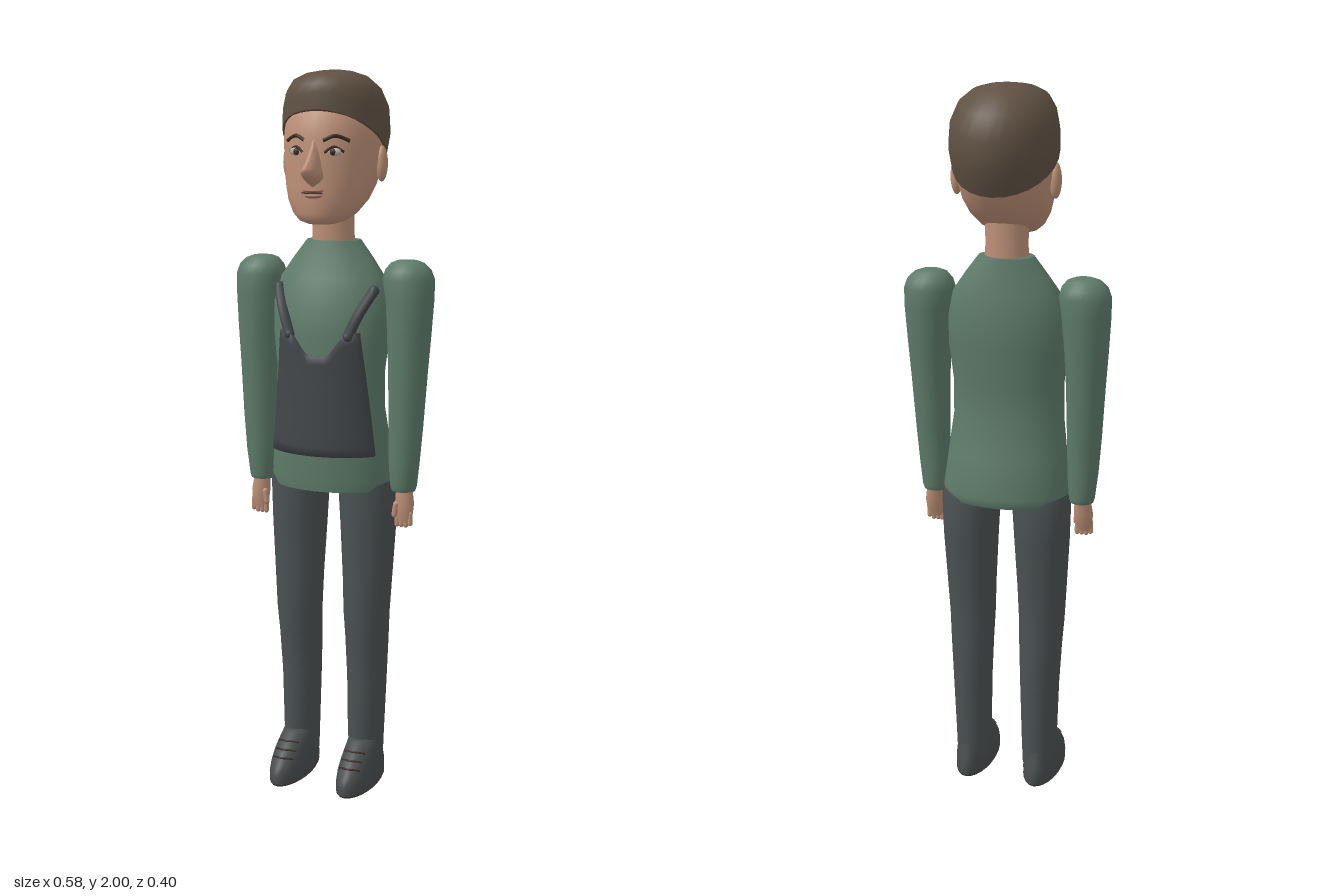
import * as THREE from 'three';
import { ParametricGeometry } from 'three/addons/geometries/ParametricGeometry.js';

const mat = (name, color, side = THREE.FrontSide) => {
  const m = new THREE.MeshStandardMaterial({ color, side });
  m.name = name;
  return m;
};

// Closed body through oval rings [y, halfWidth, zFront, zBack, centreX, tilt]; power 2 is an ellipse.
function loft(rings, sides = 24, power = 2) {
  const pos = [], idx = [];
  const bend = (t) => Math.sign(t) * Math.abs(t) ** (2 / power);
  const addRing = ([y, rx, zf, zb, cx = 0, tilt = 0]) => {
    for (let s = 0; s < sides; s++) {
      const a = (s / sides) * Math.PI * 2;
      const dz = bend(Math.sin(a)) * (zf - zb) / 2;
      pos.push(cx + rx * bend(Math.cos(a)), y + tilt * dz, (zf + zb) / 2 + dz);
    }
  };
  rings.forEach(addRing);
  for (let r = 0; r < rings.length - 1; r++) {
    for (let s = 0; s < sides; s++) {
      const a = r * sides + s, c = r * sides + (s + 1) % sides;
      idx.push(a, a + sides, c, a + sides, c + sides, c);
    }
  }
  for (const top of [false, true]) {
    const ring = top ? rings[rings.length - 1] : rings[0];
    const start = pos.length / 3;
    addRing(ring);
    pos.push(ring[4] ?? 0, ring[0], (ring[2] + ring[3]) / 2);
    for (let s = 0; s < sides; s++) {
      const a = start + s, b = start + (s + 1) % sides;
      idx.push(start + sides, top ? b : a, top ? a : b);
    }
  }
  const g = new THREE.BufferGeometry();
  g.setAttribute('position', new THREE.Float32BufferAttribute(pos, 3));
  g.setIndex(idx);
  g.computeVertexNormals();
  return g;
}

// Front z of a lofted body at (x, y).
function frontZ(rings, x, y) {
  let i = 0;
  while (i < rings.length - 2 && rings[i + 1][0] < y) i++;
  const p = rings[i], q = rings[i + 1];
  const t = THREE.MathUtils.clamp((y - p[0]) / (q[0] - p[0]), 0, 1);
  const [rx, zf, zb] = [1, 2, 3].map((k) => p[k] + (q[k] - p[k]) * t);
  const u = (x - (p[4] ?? 0)) / rx;
  return (zf + zb) / 2 + (zf - zb) / 2 * Math.sqrt(Math.max(0, 1 - u * u));
}

// Cord lying on the front of a lofted body through the given [x, y] points.
function cord(rings, points, radius, lift = 0) {
  const path = points.map(([x, y]) => new THREE.Vector3(x, y, frontZ(rings, x, y) + lift));
  return new THREE.TubeGeometry(new THREE.CatmullRomCurve3(path), 12, radius, 8);
}

const HEAD = [
  [1.598, 0.035, 0.1, 0.03], [1.606, 0.062, 0.115, 0], [1.625, 0.086, 0.122, -0.045],
  [1.66, 0.108, 0.125, -0.095], [1.7, 0.121, 0.126, -0.135], [1.76, 0.131, 0.122, -0.165],
  [1.82, 0.136, 0.12, -0.185], [1.88, 0.133, 0.108, -0.185], [1.93, 0.105, 0.075, -0.16],
];
const HAIR = [
  [1.81, 0.142, 0.106, -0.16, 0, 0.65], [1.865, 0.145, 0.105, -0.193, 0, 0.5],
  [1.915, 0.138, 0.1, -0.2, 0, 0.32], [1.957, 0.118, 0.085, -0.178, 0, 0.2],
  [1.984, 0.084, 0.05, -0.135, 0, 0.1], [1.996, 0.045, 0.008, -0.085, 0, 0.04], [2, 0.01, -0.025, -0.045],
];
const NOSE = [
  [1.698, 0.012, 0.13, 0.06], [1.71, 0.026, 0.146, 0.06], [1.722, 0.03, 0.172, 0.05],
  [1.735, 0.027, 0.2, 0.04], [1.746, 0.024, 0.184, 0.05], [1.768, 0.021, 0.155, 0.06],
  [1.8, 0.018, 0.129, 0.06], [1.825, 0.014, 0.118, 0.06],
];
const TORSO = [
  [0.867, 0.172, 0.097, -0.135], [0.895, 0.18, 0.1, -0.145], [1, 0.168, 0.104, -0.123],
  [1.1, 0.156, 0.102, -0.101], [1.2, 0.156, 0.1, -0.101], [1.3, 0.167, 0.1, -0.111],
  [1.38, 0.168, 0.09, -0.112], [1.45, 0.15, 0.065, -0.102], [1.5, 0.115, 0.048, -0.093],
  [1.55, 0.076, 0.036, -0.085],
];
const SLEEVE = [
  [0.867, 0.033, 0.023, -0.043, 0.213], [0.88, 0.037, 0.028, -0.048, 0.213],
  [0.95, 0.043, 0.034, -0.05, 0.215], [1.05, 0.048, 0.036, -0.056, 0.218],
  [1.2, 0.054, 0.04, -0.07, 0.221], [1.3, 0.06, 0.044, -0.08, 0.222],
  [1.4, 0.067, 0.045, -0.089, 0.221], [1.45, 0.071, 0.044, -0.09, 0.217],
  [1.475, 0.063, 0.035, -0.081, 0.216], [1.493, 0.046, 0.02, -0.066, 0.214], [1.5, 0.027, 0.002, -0.048, 0.213],
];
const HAND = [
  [0.778, 0.02, 0.008, -0.01, 0.218], [0.8, 0.025, 0.012, -0.018, 0.218],
  [0.83, 0.027, 0.016, -0.028, 0.218], [0.88, 0.022, 0.012, -0.034, 0.215],
];
const LEG = [
  [0.05, 0.046, 0.02, -0.085, 0.1], [0.13, 0.051, 0.037, -0.086, 0.1], [0.3, 0.056, 0.036, -0.092, 0.101],
  [0.42, 0.061, 0.045, -0.093, 0.102], [0.5, 0.065, 0.053, -0.087, 0.103], [0.6, 0.07, 0.05, -0.09, 0.104],
  [0.75, 0.078, 0.055, -0.104, 0.104], [0.87, 0.083, 0.06, -0.11, 0.102], [0.93, 0.078, 0.055, -0.09, 0.09],
];
const SHOE = [
  [0.005, 0.054, 0.157, -0.105, 0.103], [0.028, 0.055, 0.158, -0.106, 0.103],
  [0.052, 0.054, 0.146, -0.1, 0.103], [0.08, 0.05, 0.12, -0.09, 0.103],
  [0.105, 0.046, 0.085, -0.084, 0.102], [0.124, 0.042, 0.058, -0.078, 0.101], [0.13, 0.034, 0.045, -0.07, 0.101],
];

// Apron panel hugging the chest, its outer rows folded in to give an edge.
function bibGeometry() {
  const inner = (t, n) => THREE.MathUtils.clamp((t * n - 1) / (n - 2), 0, 1);
  const g = new ParametricGeometry((u, v, p) => {
    const edge = u < 0.001 || u > 0.999 || v < 0.001 || v > 0.999;
    const a = inner(u, 22) * 2 - 1, t = inner(v, 14);
    const x = a * (0.15 - 0.036 * t);
    const topY = 1.245 + 0.065 * THREE.MathUtils.smoothstep(Math.abs(a), 0.2, 0.8);
    const y = 0.97 + (topY - 0.97) * t;
    p.set(x, y, frontZ(TORSO, x, y) + (edge ? -0.01 : 0.014));
  }, 22, 14);
  g.computeVertexNormals();
  return g;
}

export function createModel() {
  const model = new THREE.Group();
  model.name = 'figure';
  const skin = mat('skin', 0xbd9078), hairBrown = mat('hairBrown', 0x605143);
  const green = mat('shirtGreen', 0x5e7b6a), trouser = mat('trouserGrey', 0x4b5153);
  const apron = mat('apronCharcoal', 0x43474a, THREE.DoubleSide), shoeGrey = mat('shoeGrey', 0x484c4d);
  const soleBrown = mat('soleBrown', 0x4a3d34), dark = mat('darkBrown', 0x3a2c25);
  const eyeWhite = mat('eyeWhite', 0xb5aaa0), lip = mat('lip', 0xa87362);

  const add = (name, geometry, material) => {
    const m = new THREE.Mesh(geometry, material);
    m.name = name;
    model.add(m);
    return m;
  };
  const blob = (name, material, [x, y, z], [sx, sy, sz]) => {
    const m = add(name, new THREE.SphereGeometry(1, 16, 12), material);
    m.position.set(x, y, z);
    m.scale.set(sx, sy, sz);
    return m;
  };

  // Head and neck
  add('head', loft(HEAD, 32), skin);
  add('hair', loft(HAIR, 28), hairBrown);
  add('nose', loft(NOSE, 20, 1.5), skin);
  add('neck', loft([[1.52, 0.062, 0.03, -0.072], [1.58, 0.058, 0.03, -0.068], [1.66, 0.06, 0.035, -0.07]]), skin);
  blob('upperLip', lip, [0, 1.688, 0.123], [0.03, 0.006, 0.014]);
  blob('lowerLip', lip, [0, 1.674, 0.122], [0.025, 0.007, 0.013]);
  add('mouthLine', cord(HEAD, [[-0.03, 1.682], [0, 1.681], [0.03, 1.682]], 0.002, 0.007), dark);

  // Clothing on the trunk
  add('shirt', loft(TORSO, 32), green);
  add('apronBib', bibGeometry(), apron);

  for (const side of [1, -1]) {
    const label = side > 0 ? 'left' : 'right';
    const placed = (rings) => rings.map((r) => [r[0], r[1], r[2], r[3], r[4] * side]);
    const flip = (points) => points.map(([x, y]) => [x * side, y]);

    // Face details
    const eyeZ = frontZ(HEAD, 0.053, 1.788);
    blob(label + 'Ear', skin, [side * 0.135, 1.755, -0.03], [0.016, 0.048, 0.02]);
    blob(label + 'Eye', eyeWhite, [side * 0.053, 1.788, eyeZ - 0.001], [0.021, 0.011, 0.007]);
    blob(label + 'Iris', dark, [side * 0.052, 1.788, eyeZ + 0.003], [0.009, 0.009, 0.005]);
    add(label + 'Eyelid', cord(HEAD, flip([[0.03, 1.786], [0.053, 1.801], [0.077, 1.788]]), 0.0035, 0.002), dark);
    add(label + 'Eyebrow', cord(HEAD, flip([[0.026, 1.817], [0.055, 1.829], [0.088, 1.816]]), 0.005), dark);

    // Apron strap
    const strap = flip([[0.085, 1.3], [0.11, 1.36], [0.138, 1.42]]);
    add(label + 'Strap', cord(TORSO, strap, 0.015, 0.004), apron);
    for (const [x, y] of [strap[0], strap[2]])
      blob(label + 'StrapEnd', apron, [x, y, frontZ(TORSO, x, y) + 0.004], [0.015, 0.015, 0.015]);

    // Arm and hand
    add(label + 'Sleeve', loft(placed(SLEEVE), 20), green);
    add(label + 'Hand', loft(placed(HAND), 16), skin);
    for (let f = 0; f < 4; f++) {
      const finger = add(label + 'Finger', new THREE.CapsuleGeometry(0.0072, 0.028, 4, 8), skin);
      finger.position.set(side * (0.199 + f * 0.0128), 0.785 + (f === 3 ? 0.005 : 0), 0.001);
    }
    const thumb = add(label + 'Thumb', new THREE.CapsuleGeometry(0.0085, 0.03, 4, 8), skin);
    thumb.position.set(side * 0.196, 0.815, 0.009);
    thumb.rotation.z = side * -0.15;

    // Leg and shoe
    add(label + 'TrouserLeg', loft(placed(LEG), 20), trouser);
    const shoe = placed(SHOE);
    add(label + 'Shoe', loft(shoe, 24), shoeGrey);
    add(label + 'Sole', loft(placed([[0, 0.052, 0.155, -0.103, 0.103], [0.006, 0.055, 0.158, -0.106, 0.103]])), soleBrown);
    for (const y of [0.075, 0.092, 0.109])
      add(label + 'Lace', cord(shoe, flip([[0.072, y - 0.006], [0.103, y], [0.134, y - 0.006]]), 0.003, 0.001), dark);
  }
  return model;
}
